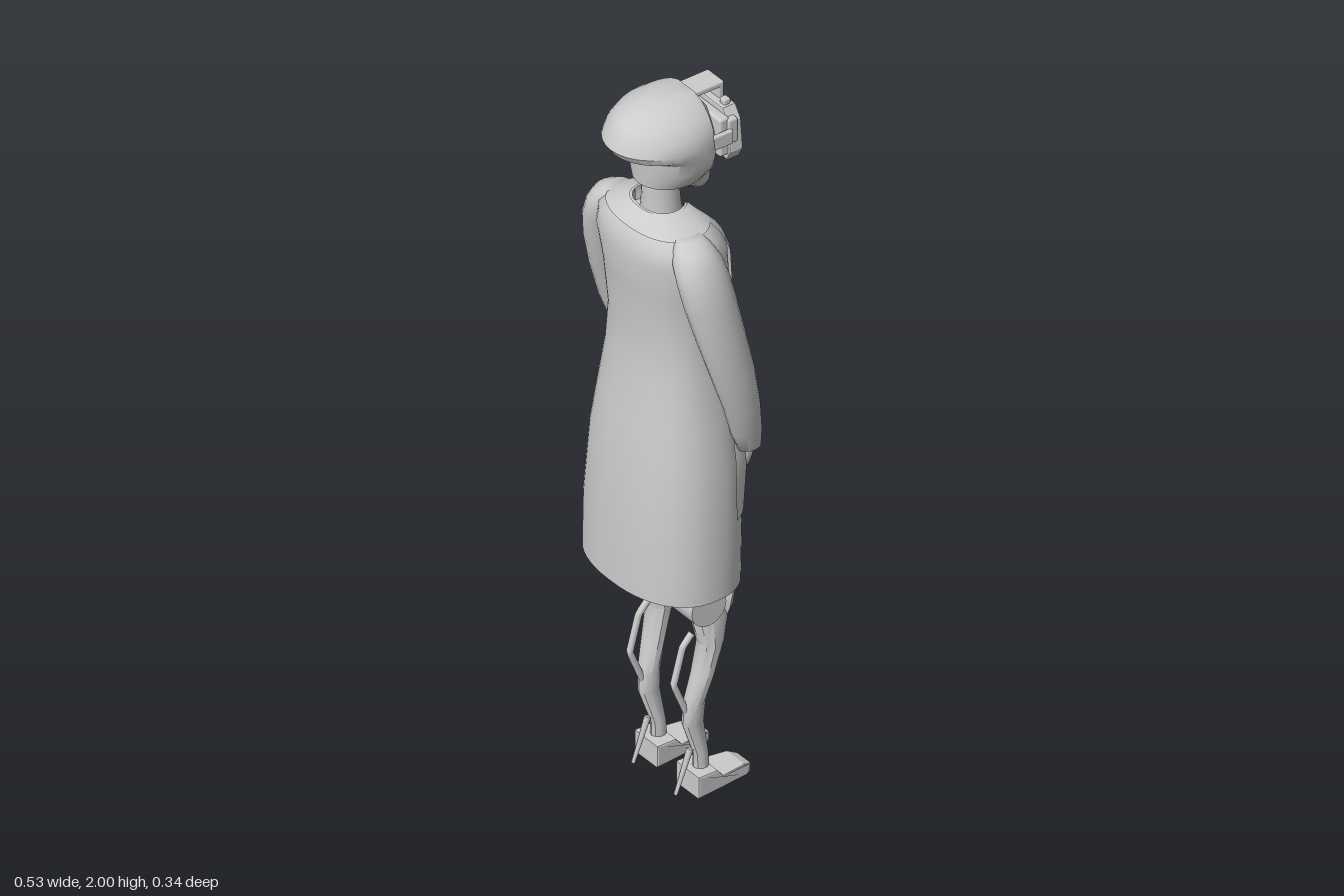
import * as THREE from 'three';
import { toCreasedNormals } from 'three/addons/utils/BufferGeometryUtils.js';
import { RoundedBoxGeometry } from 'three/addons/geometries/RoundedBoxGeometry.js';

const solid = new THREE.MeshStandardMaterial({ color: 0xcccccc });
const cloth = new THREE.MeshStandardMaterial({ color: 0xcccccc, side: THREE.DoubleSide });
const SIDES = [-1, 1];

// Skin a stack of point rings, ordered from bottom to top
function skin(rings, closed, crease = 0.7) {
  const n = rings[0].length, pos = rings.flat(2), idx = [];
  for (let i = 0; i < rings.length - 1; i++) {
    for (let j = 0; j < (closed ? n : n - 1); j++) {
      const a = i * n + j, b = i * n + (j + 1) % n;
      idx.push(a, b, b + n, a, b + n, a + n);
    }
  }
  if (closed) {
    const top = (rings.length - 1) * n;
    for (let j = 1; j < n - 1; j++) idx.push(0, j + 1, j, top, top + j, top + j + 1);
  }
  const g = new THREE.BufferGeometry();
  g.setAttribute('position', new THREE.Float32BufferAttribute(pos, 3));
  g.setIndex(idx);
  return toCreasedNormals(g, crease);
}

// Loft of elliptical sections [y, x, z, radiusX, radiusZ]
function loft(rows, sides = 16, crease = 0.7, adjust = (p) => p) {
  return skin(rows.map(([y, x, z, rx, rz]) => Array.from({ length: sides }, (_, j) => {
    const a = j / sides * Math.PI * 2;
    return adjust([x + rx * Math.sin(a), y, z + rz * Math.cos(a)]);
  })), true, crease);
}

// Sections given by width and back/front limits
const span = (rows) => rows.map(([y, w, back, front]) => [y, 0, (back + front) / 2, w, (back - front) / 2]);
// Move sections to one side of the body
const sided = (rows, s) => rows.map(([y, x, z, rx, rz]) => [y, x * s, z, rx, rz]);

// Coat sections: y, half width, back z, front z, opening angle
const COAT = [
  [0.64, 0.225, 0.170, -0.140, 0.24], [0.80, 0.223, 0.168, -0.145, 0.24], [1.00, 0.210, 0.155, -0.148, 0.24],
  [1.12, 0.192, 0.140, -0.140, 0.24], [1.25, 0.173, 0.122, -0.128, 0.24], [1.36, 0.165, 0.116, -0.124, 0.25],
  [1.50, 0.172, 0.130, -0.126, 0.33], [1.59, 0.187, 0.140, -0.112, 0.42], [1.64, 0.178, 0.134, -0.088, 0.52],
  [1.67, 0.140, 0.116, -0.062, 0.62], [1.69, 0.095, 0.092, -0.040, 0.70], [1.70, 0.070, 0.078, -0.030, 0.75]];

// Point on the coat: t runs from -1 to 1 around the back, from edge to edge
function coatPoint(y, t, lift = 0) {
  let i = 0;
  while (i < COAT.length - 2 && y > COAT[i + 1][0]) i++;
  const k = (y - COAT[i][0]) / (COAT[i + 1][0] - COAT[i][0]);
  const [, w, back, front, gap] = COAT[i].map((v, c) => THREE.MathUtils.lerp(v, COAT[i + 1][c], k));
  const a = t * (Math.PI - gap), box = (v) => Math.sign(v) * Math.abs(v) ** 0.87;
  return [(w + lift) * box(Math.sin(a)), y, (back + front) / 2 + ((back - front) / 2 + lift) * box(Math.cos(a))];
}

// Piece of cloth lying on the coat; range(v) gives [t0, t1] at height v
function patch(y0, y1, range, lift, nu = 8, nv = 10) {
  return skin(Array.from({ length: nv + 1 }, (_, i) => Array.from({ length: nu + 1 }, (_, j) => {
    const v = i / nv, u = j / nu, [t0, t1] = range(v);
    return coatPoint(y0 + (y1 - y0) * v, t0 + (t1 - t0) * u, lift(u, v));
  })), false);
}

export function createModel() {
  const model = new THREE.Group();
  const add = (name, geo, parent = model, mat = solid) => {
    const m = new THREE.Mesh(geo, mat);
    m.name = name;
    parent.add(m);
    return m;
  };
  const group = (name) => {
    const g = new THREE.Group();
    g.name = name;
    model.add(g);
    return g;
  };
  const box = (name, parent, w, h, d, x, y, z, r = 0.008) =>
    add(name, new RoundedBoxGeometry(w, h, d, 2, r), parent).position.set(x, y, z);

  // Long open coat with collar, lapels and bulging pockets
  const coat = group('coat');
  add('coatBody', skin(COAT.map(([y]) => Array.from({ length: 49 }, (_, j) => coatPoint(y, j / 24 - 1))), false, 1.2), coat, cloth);
  add('collar', patch(1.665, 1.70, () => [-1, 1], () => 0.006, 32, 4), coat, cloth);
  for (const s of SIDES) {
    const order = (a, b) => (s > 0 ? [a, b] : [-b, -a]);
    add('lapel', patch(1.36, 1.68, (v) => order(1 - 0.17 * Math.sin(Math.PI * (0.1 + 0.75 * v)), 1), () => 0.007), coat, cloth);
    add('pocket', patch(0.84, 1.08, () => order(0.66, 0.97),
      (u, v) => 0.004 + 0.018 * Math.sin(Math.PI * u) * v), coat, cloth);
    add('sleeve', loft(sided([
      [1.03, 0.195, -0.102, 0.024, 0.032], [1.09, 0.205, -0.086, 0.032, 0.042], [1.18, 0.219, -0.062, 0.037, 0.050],
      [1.29, 0.225, -0.030, 0.040, 0.060], [1.40, 0.216, -0.002, 0.046, 0.066], [1.50, 0.203, 0.020, 0.052, 0.070],
      [1.57, 0.190, 0.032, 0.053, 0.070], [1.62, 0.172, 0.038, 0.052, 0.064], [1.65, 0.158, 0.040, 0.046, 0.050],
      [1.67, 0.140, 0.040, 0.030, 0.034]], s), 18, 1.2), coat);
    // Hand slipping into the pocket
    const hand = add('hand', new THREE.SphereGeometry(1, 14, 10), coat);
    hand.scale.set(0.024, 0.065, 0.02);
    hand.position.set(0.168 * s, 1.0, -0.108);
    hand.rotation.z = -0.3 * s;
  }

  // Body under the coat
  const body = group('body');
  add('torso', loft(span([
    [1.06, 0.125, 0.09, -0.085], [1.14, 0.105, 0.07, -0.075], [1.22, 0.09, 0.06, -0.065], [1.34, 0.105, 0.07, -0.07],
    [1.46, 0.125, 0.09, -0.08], [1.56, 0.135, 0.10, -0.065], [1.63, 0.11, 0.10, -0.035], [1.67, 0.06, 0.07, -0.03]]), 24, 1.2), body);
  add('briefs', loft(span([
    [0.92, 0.035, 0.05, -0.06], [0.96, 0.085, 0.09, -0.095], [1.01, 0.135, 0.10, -0.105], [1.07, 0.135, 0.095, -0.095]]), 24), body);
  add('neck', loft(span([[1.64, 0.056, 0.07, -0.035], [1.72, 0.046, 0.065, -0.03], [1.80, 0.048, 0.07, -0.03]]), 18), body);
  add('topBand', loft(span([[1.36, 0.112, 0.075, -0.078], [1.40, 0.12, 0.082, -0.085]]), 24), body);
  for (const s of SIDES) {
    const bust = add('bust', new THREE.SphereGeometry(0.055, 18, 14), body);
    bust.position.set(0.056 * s, 1.435, -0.065);
  }

  // Head with an angular jaw
  const head = group('head');
  add('face', loft(span([
    [1.71, 0.035, -0.055, -0.108], [1.73, 0.052, -0.02, -0.118], [1.77, 0.078, 0.078, -0.116], [1.82, 0.113, 0.086, -0.112],
    [1.88, 0.12, 0.09, -0.112], [1.94, 0.105, 0.09, -0.10], [1.975, 0.07, 0.06, -0.07]]), 20, 0.6), head);
  // Helmet shell, cut flat at the front and flared at the back
  add('helmet', loft(span([
    [1.77, 0.084, 0.086, -0.10], [1.82, 0.118, 0.089, -0.14], [1.855, 0.127, 0.092, -0.15], [1.88, 0.131, 0.156, -0.15],
    [1.90, 0.132, 0.169, -0.15], [1.93, 0.125, 0.158, -0.15], [1.96, 0.106, 0.136, -0.14], [1.982, 0.077, 0.098, -0.11],
    [1.994, 0.045, 0.055, -0.09], [2.0, 0.018, 0.022, -0.04]]), 32, 0.6, ([x, y, z]) => [x, y, Math.max(z, -0.06)]), head);

  // Goggles: visor plate with a nose notch, frame, top strap and side arms
  const goggles = group('goggles');
  const visor = new THREE.Shape([[-0.03, 1.81], [-0.015, 1.835], [0.015, 1.835], [0.03, 1.81], [0.085, 1.805], [0.098, 1.83],
    [0.09, 1.91], [0.07, 1.94], [-0.07, 1.94], [-0.09, 1.91], [-0.098, 1.83], [-0.085, 1.805]].map((p) => new THREE.Vector2(...p)));
  add('visor', new THREE.ExtrudeGeometry(visor, { depth: 0.03, bevelSize: 0.004, bevelThickness: 0.005, bevelSegments: 2 }), goggles)
    .position.z = -0.15;
  box('frame', goggles, 0.19, 0.11, 0.03, 0, 1.875, -0.105);
  box('topStrap', goggles, 0.066, 0.016, 0.13, 0, 1.981, -0.085, 0.005);
  box('strapDrop', goggles, 0.066, 0.055, 0.016, 0, 1.961, -0.142, 0.005);
  for (const s of SIDES) {
    box('sideArm', goggles, 0.014, 0.04, 0.08, 0.104 * s, 1.88, -0.08, 0.005);
    box('hinge', goggles, 0.022, 0.07, 0.028, 0.092 * s, 1.89, -0.125, 0.006);
    box('knob', goggles, 0.022, 0.018, 0.02, 0.055 * s, 1.95, -0.135, 0.005);
  }

  // Legs: thigh, mechanical knee and shank, calf strut, heel spike and shoe
  for (const s of SIDES) {
    const leg = group(s > 0 ? 'leftLeg' : 'rightLeg');
    add('thigh', loft(sided([
      [0.61, 0.097, -0.035, 0.043, 0.062], [0.72, 0.09, -0.03, 0.052, 0.068], [0.85, 0.082, -0.015, 0.064, 0.08],
      [1.02, 0.073, 0.0, 0.068, 0.09]], s), 18), leg);
    const knee = add('kneeJoint', new THREE.CylinderGeometry(0.052, 0.052, 0.092, 20), leg);
    knee.rotation.z = Math.PI / 2;
    knee.position.set(0.098 * s, 0.56, -0.02);
    add('kneeCap', loft(sided([
      [0.49, 0.098, -0.085, 0.026, 0.014], [0.53, 0.098, -0.088, 0.04, 0.025], [0.575, 0.098, -0.098, 0.04, 0.022],
      [0.59, 0.098, -0.1, 0.028, 0.012]], s), 8, 0.4), leg);
    add('shank', loft(sided([
      [0.04, 0.085, -0.04, 0.02, 0.022], [0.10, 0.085, -0.038, 0.018, 0.02], [0.20, 0.088, -0.012, 0.023, 0.029],
      [0.26, 0.091, -0.015, 0.026, 0.028], [0.34, 0.098, -0.035, 0.033, 0.028], [0.43, 0.102, -0.055, 0.037, 0.032],
      [0.51, 0.102, -0.05, 0.041, 0.05], [0.54, 0.1, -0.05, 0.036, 0.045]], s), 10, 0.6), leg);
    // Bent strut behind the calf
    const path = new THREE.CurvePath();
    const pts = [[0.46, -0.01], [0.43, 0.018], [0.33, 0.045], [0.22, 0.0]].map(([y, z]) => new THREE.Vector3(0.088 * s, y, z));
    for (let i = 0; i < 3; i++) path.add(new THREE.LineCurve3(pts[i], pts[i + 1]));
    add('calfStrut', new THREE.TubeGeometry(path, 24, 0.009, 8), leg);
    const spike = add('heelSpike', new THREE.CylinderGeometry(0.009, 0.005, 0.125, 6), leg);
    spike.position.set(0.085 * s, 0.063, 0.015);
    spike.rotation.x = -0.36;
    // Shoe profile drawn with toe forward, then turned to run along z
    const shoe = new THREE.Shape([[0.0, 0.004], [0.0, 0.058], [0.05, 0.058], [0.068, 0.036], [0.14, 0.034], [0.162, 0.024], [0.162, 0.006],
      [0.15, 0.004]].map((p) => new THREE.Vector2(...p)));
    const geo = new THREE.ExtrudeGeometry(shoe, { depth: 0.084, bevelSize: 0.004, bevelThickness: 0.005, bevelSegments: 2 });
    // Round the toe in plan
    const p = geo.attributes.position;
    for (let i = 0; i < p.count; i++) {
      const k = Math.max(0, (p.getX(i) - 0.07) / 0.09);
      p.setZ(i, (p.getZ(i) - 0.042) * (1 - 0.35 * k * k));
    }
    geo.rotateY(Math.PI / 2);
    geo.computeVertexNormals();
    add('shoe', geo, leg).position.set(0.083 * s, 0, -0.004);
  }
  return model;
}
